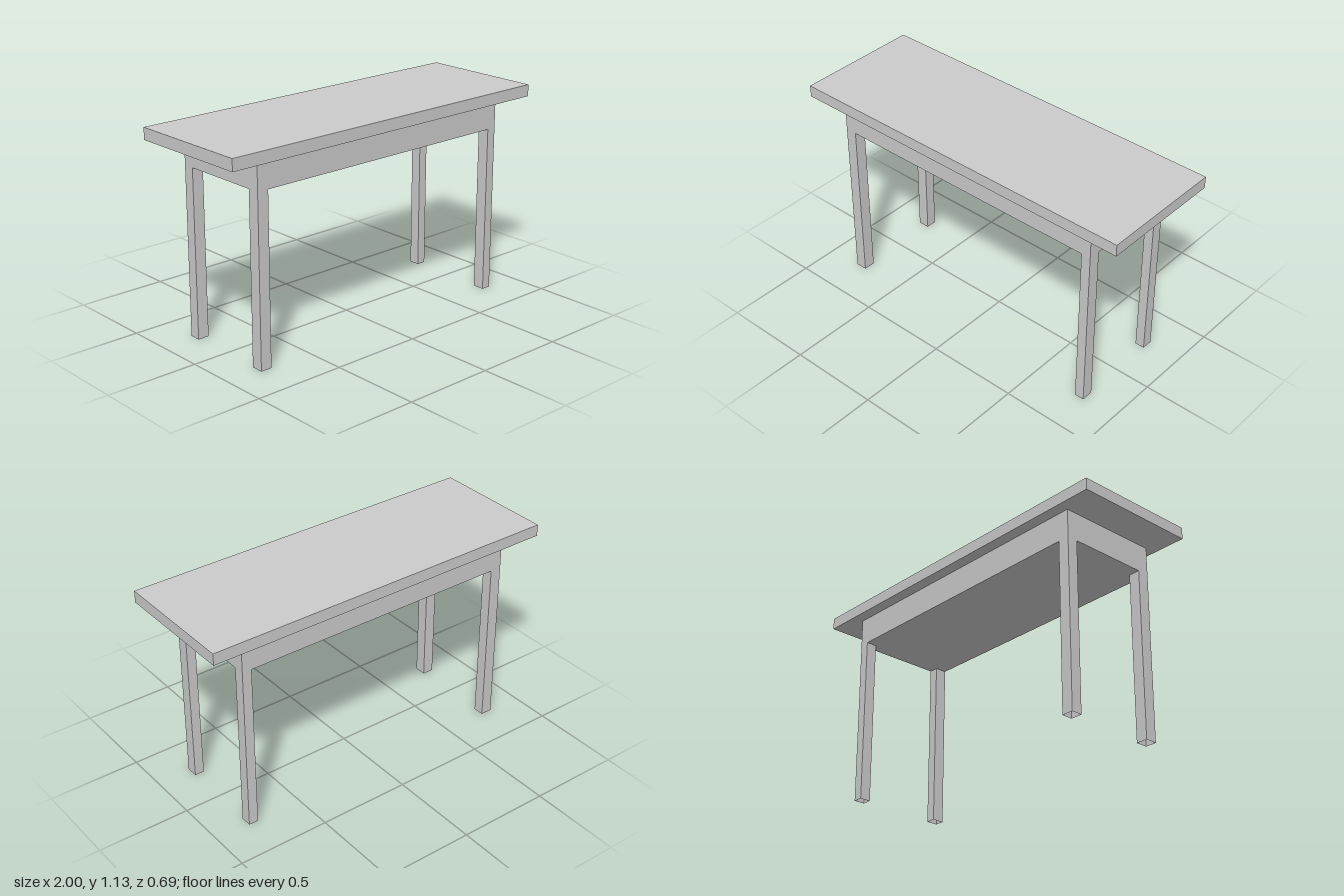
import * as THREE from 'three';

const material = new THREE.MeshStandardMaterial({ color: 0xcccccc, flatShading: true, side: THREE.DoubleSide });

// Box spanning the given ranges on each axis
function boxBetween(name, [x0, x1], [y0, y1], [z0, z1]) {
  const geometry = new THREE.BoxGeometry(x1 - x0, y1 - y0, z1 - z0);
  geometry.translate((x0 + x1) / 2, (y0 + y1) / 2, (z0 + z1) / 2);
  const mesh = new THREE.Mesh(geometry, material);
  mesh.name = name;
  return mesh;
}

// Remove the bottom (-y) face, leaving a hollow open foot
function openBottom(mesh) {
  const index = Array.from(mesh.geometry.index.array);
  index.splice(18, 6);
  mesh.geometry.setIndex(index);
  mesh.geometry.clearGroups();
  return mesh;
}

export function createModel() {
  const table = new THREE.Group();
  table.name = 'table';

  const topUnder = 1.066, apronUnder = 0.914;

  // Overhanging slab and the solid apron block beneath it
  table.add(boxBetween('tableTop', [-1, 1], [topUnder, 1.13], [-0.345, 0.345]));
  table.add(boxBetween('apron', [-0.81, 0.81], [apronUnder, topUnder], [-0.283, 0.283]));

  // Four square legs, flush with the apron's corners
  const columns = { Right: [-0.81, -0.747], Left: [0.758, 0.81] };
  const rows = { front: [0.218, 0.283], back: [-0.283, -0.223] };
  for (const [side, x] of Object.entries(columns)) {
    for (const [end, z] of Object.entries(rows)) {
      table.add(openBottom(boxBetween(`${end}${side}Leg`, x, [0, apronUnder], z)));
    }
  }
  return table;
}
